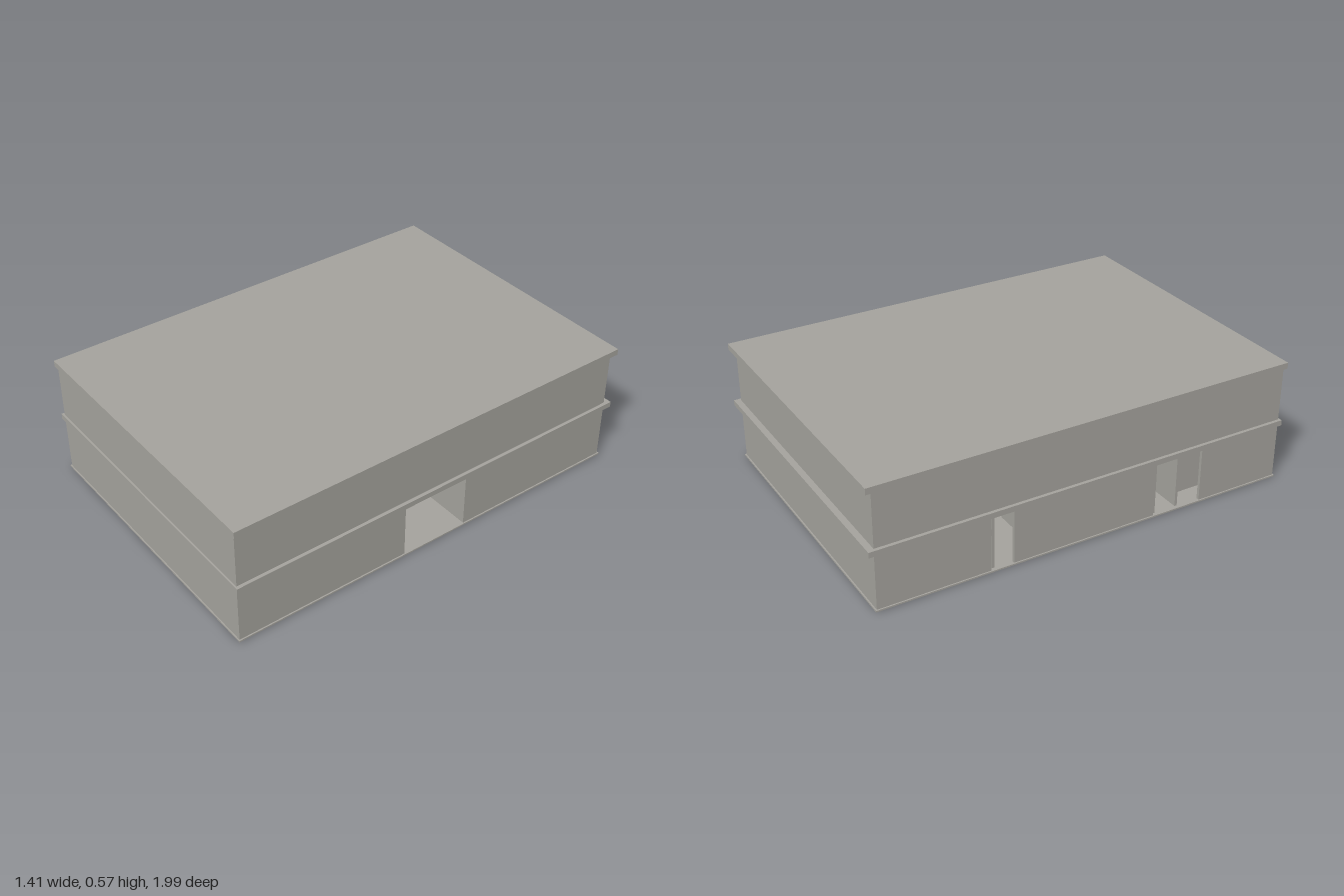
import * as THREE from 'three';

export function createModel() {
  const model = new THREE.Group();
  model.name = 'building';
  const concrete = new THREE.MeshStandardMaterial({ color: 0xa5a39d });
  concrete.name = 'concreteGrey';

  // box given by its limits on each axis
  function block(name, x0, x1, y0, y1, z0, z1) {
    const mesh = new THREE.Mesh(new THREE.BoxGeometry(x1 - x0, y1 - y0, z1 - z0), concrete);
    mesh.position.set((x0 + x1) / 2, (y0 + y1) / 2, (z0 + z1) / 2);
    mesh.name = name;
    model.add(mesh);
  }

  // upright wall along a line on the plan
  function wall(name, xa, za, xb, zb, y0 = 0, y1 = 0.268, thick = 0.012) {
    const length = Math.hypot(xb - xa, zb - za);
    const mesh = new THREE.Mesh(new THREE.BoxGeometry(length, y1 - y0, thick), concrete);
    mesh.position.set((xa + xb) / 2, (y0 + y1) / 2, (za + zb) / 2);
    mesh.rotation.y = -Math.atan2(zb - za, xb - xa);
    mesh.name = name;
    model.add(mesh);
  }

  const X = 0.672, FRONT = 0.977, BACK = -0.957, T = 0.014;

  // floors and roof
  block('groundFloor', -0.678, 0.678, 0.004, 0.011, -0.963, 0.982);
  block('middleSlab', -0.687, 0.687, 0.265, 0.29, -0.985, 0.985);
  block('roofSlab', -0.687, 0.687, 0.54, 0.568, -0.985, 0.985);

  // upper storey
  block('upperStorey', -X, X, 0.289, 0.541, BACK, FRONT);

  // lower storey outer walls, leaving gaps for the entrances
  block('frontWall', -X, X, 0.006, 0.267, FRONT - T, FRONT);
  block('backWall', -X, X, 0.006, 0.267, BACK, BACK + T);
  for (const [z0, z1] of [[BACK, -0.157], [0.163, FRONT]])
    block('leftWall', X - T, X, 0.006, 0.267, z0, z1);
  for (const [z0, z1] of [[BACK, -0.455], [-0.35, 0.33], [0.57, FRONT]])
    block('rightWall', -X, -X + T, 0.006, 0.267, z0, z1);

  // recessed entrance on the left side
  wall('entranceBack', 0.45, -0.163, 0.45, 0.169);
  for (const z of [-0.163, 0.169]) wall('entranceSide', 0.45, z, 0.668, z);

  // lobby behind the right-hand entrance
  wall('lobbyBack', -0.57, 0.457, -0.57, 0.75, 0.006);

  // inner walls: xa, za, xb, zb
  const innerWalls = [
    [0.6, 0.447, 0.36, 0.447], [0, 0.457, -0.66, 0.457],
    [0.62, -0.44, 0.34, -0.44], [0.055, -0.44, -0.66, -0.44],
    [0.228, -0.44, 0.228, -0.945], [-0.235, -0.44, -0.235, -0.945],
    [0.215, 0.345, 0.215, -0.335], [0.215, -0.335, -0.14, -0.335],
    [-0.14, -0.335, -0.235, -0.27], [-0.235, -0.3, -0.235, 0.29],
    [-0.235, 0.29, -0.1, 0.342], [0.215, 0.342, -0.1, 0.342],
    [-0.36, 0.34, -0.36, -0.22],
  ];
  for (const line of innerWalls) wall('innerWall', ...line);
  for (const z of [0.34, 0.155, 0, -0.135, -0.22]) wall('partition', -0.36, z, -0.66, z);

  // the building stands slightly turned
  model.rotation.y = 0.018;
  const group = new THREE.Group();
  group.name = 'twoStoreyBuilding';
  group.add(model);
  return group;
}
